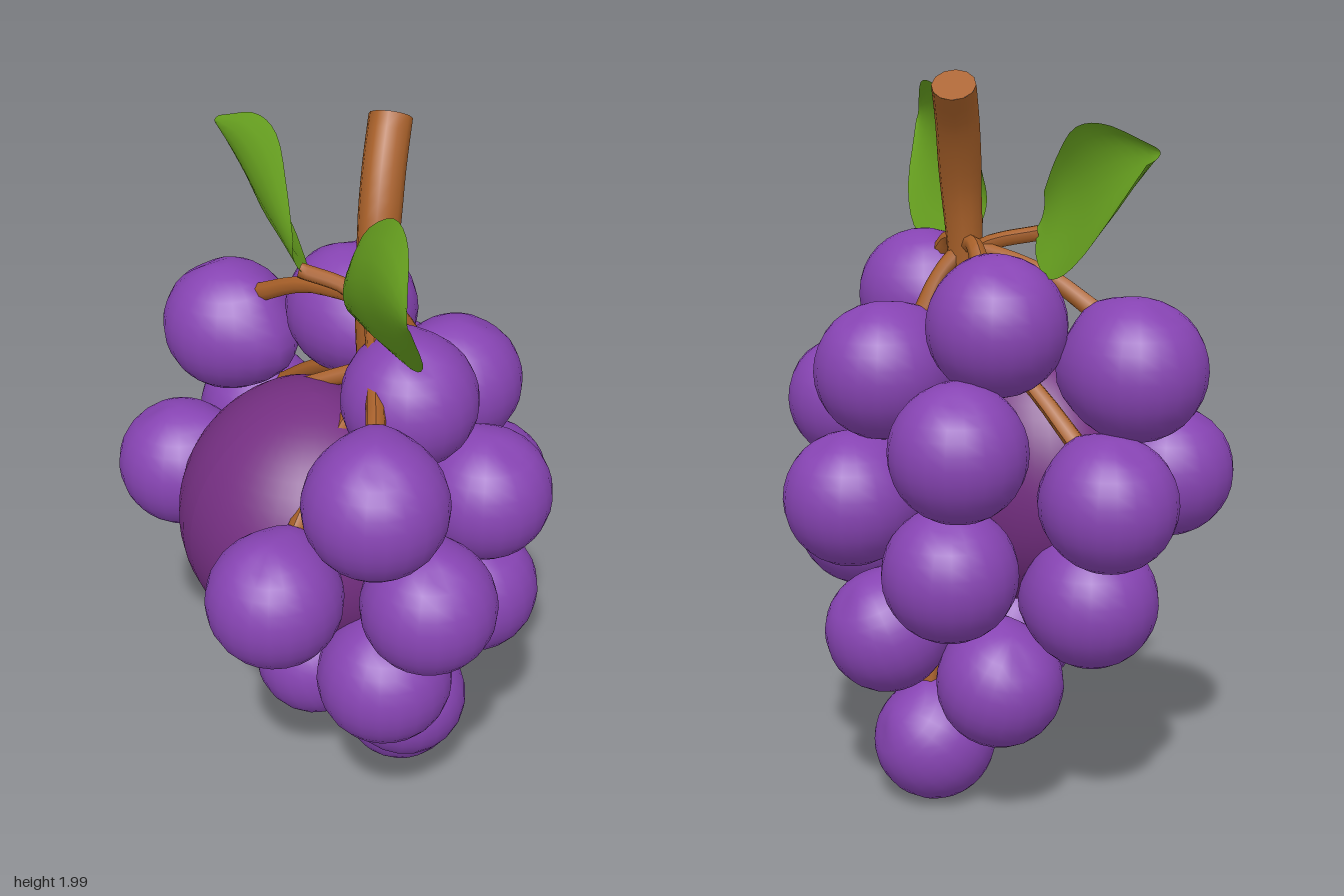
import * as THREE from 'three';
import { mergeVertices } from 'three/addons/utils/BufferGeometryUtils.js';

const V = (x, y, z) => new THREE.Vector3(x, y, z);
const makeMaterial = (name, color, side = THREE.FrontSide) =>
  Object.assign(new THREE.MeshStandardMaterial({ color, side }), { name });

// Directions on a grape whose outer side faces +z
const STALK_END = V(0, 0.75, -0.66).normalize();
const GRAPE_LUMPS = [
  { dir: STALK_END, height: 0.1, width: 0.35 },                        // neck at the stalk
  { dir: V(0, -0.1, -1).normalize(), height: 0.22, width: 0.55 },      // drawn in to the bunch
  { dir: V(0, 0.85, 0.5).normalize(), height: -0.06, width: 0.22 },    // dimple
];

// Grape: a unit sphere with lumps and a dimple
function grapeGeometry() {
  const sphere = new THREE.SphereGeometry(1, 22, 16);
  sphere.deleteAttribute('uv');
  sphere.deleteAttribute('normal');
  const geometry = mergeVertices(sphere);
  const pos = geometry.attributes.position;
  const p = V(0, 0, 0);
  for (let i = 0; i < pos.count; i++) {
    p.fromBufferAttribute(pos, i);
    let r = 1;
    for (const { dir, height, width } of GRAPE_LUMPS) r += height * Math.exp(-((p.angleTo(dir) / width) ** 2));
    pos.setXYZ(i, p.x * r, p.y * r, p.z * r);
  }
  geometry.computeVertexNormals();
  return geometry;
}

// Tube along points whose radius runs through a list of values
function taperedTube(points, radii, segments, sides) {
  const curve = new THREE.CatmullRomCurve3(points);
  const geometry = new THREE.TubeGeometry(curve, segments, 1, sides);
  const pos = geometry.attributes.position;
  const p = V(0, 0, 0);
  for (let i = 0; i <= segments; i++) {
    const t = i / segments;
    const centre = curve.getPointAt(t);
    const f = t * (radii.length - 1);
    const k = Math.min(Math.floor(f), radii.length - 2);
    const r = THREE.MathUtils.lerp(radii[k], radii[k + 1], f - k);
    for (let j = 0; j <= sides; j++) {
      const id = i * (sides + 1) + j;
      p.fromBufferAttribute(pos, id).sub(centre).multiplyScalar(r).add(centre);
      pos.setXYZ(id, p.x, p.y, p.z);
    }
  }
  geometry.computeVertexNormals();
  return geometry;
}

// One face of a leaf, lofted from lower edge through midrib to upper edge
function leafSheet(lower, mid, upper, bulge) {
  const curves = [lower, mid, upper].map((c) => new THREE.CatmullRomCurve3(c));
  const n = 14, m = 8;
  const positions = [], index = [];
  for (let i = 0; i <= n; i++) {
    const t = i / n;
    const row = curves.map((c) => c.getPoint(t));
    row[1].x += bulge * Math.sin(Math.PI * t);
    const cross = new THREE.QuadraticBezierCurve3(
      row[0], row[1].clone().multiplyScalar(2).addScaledVector(row[0], -0.5).addScaledVector(row[2], -0.5), row[2]);
    for (let j = 0; j <= m; j++) {
      positions.push(...cross.getPoint(j / m).toArray());
      if (i < n && j < m) {
        const a = i * (m + 1) + j, b = a + m + 1;
        index.push(a, b, a + 1, b, b + 1, a + 1);
      }
    }
  }
  const geometry = new THREE.BufferGeometry();
  geometry.setAttribute('position', new THREE.Float32BufferAttribute(positions, 3));
  geometry.setIndex(index);
  geometry.computeVertexNormals();
  return geometry;
}

export function createModel() {
  const model = new THREE.Group();
  model.name = 'grapeBunch';
  const grapeSkin = makeMaterial('grapePurple', 0x8744b3);
  const coreSkin = makeMaterial('deepPurple', 0x752f82);
  const wood = makeMaterial('stemBrown', 0xa86029);
  const green = makeMaterial('leafGreen', 0x669f1f, THREE.DoubleSide);

  const add = (geometry, material, name, parent = model) => {
    const mesh = new THREE.Mesh(geometry, material);
    mesh.name = name;
    parent.add(mesh);
    return mesh;
  };

  // Large round core filling the back of the bunch, flatter on its inner side
  const coreShape = new THREE.SphereGeometry(0.37, 40, 28);
  const corePos = coreShape.attributes.position;
  for (let i = 0; i < corePos.count; i++) if (corePos.getX(i) > 0) corePos.setX(i, corePos.getX(i) * 0.7);
  coreShape.computeVertexNormals();
  add(coreShape, coreSkin, 'core').position.set(-0.108, 0.925, -0.015);

  // Main stem, running down through the bunch
  const stemPoints = [V(0.165, 1.965, -0.125), V(0.115, 1.86, -0.065), V(0.07, 1.7, -0.01),
    V(0.05, 1.5, 0), V(0.06, 1.2, 0), V(0.1, 0.8, 0), V(0.13, 0.3, 0.01)];
  add(taperedTube(stemPoints, [0.056, 0.056, 0.046, 0.04, 0.03, 0.022, 0.015, 0.015], 40, 12), wood, 'mainStem');
  const cut = add(new THREE.CircleGeometry(0.056, 12), wood, 'stemCut');
  cut.position.copy(stemPoints[0]);
  cut.lookAt(stemPoints[0].clone().multiplyScalar(2).sub(stemPoints[1]));

  // Grapes: x, y, z, radius
  const grapes = [
    [0.03, 1.375, 0.24, 0.175], [0.12, 1.375, -0.25, 0.18], [0.30, 1.235, 0.01, 0.178],
    [-0.19, 1.265, 0.475, 0.182], [-0.14, 1.275, -0.485, 0.182],
    [0.21, 1.09, 0.325, 0.175], [0.27, 1.08, -0.3, 0.178],
    [0.385, 0.9, 0.035, 0.178], [-0.065, 0.955, 0.525, 0.174], [-0.03, 0.955, -0.53, 0.174],
    [-0.395, 0.955, 0.325, 0.175], [-0.35, 0.955, -0.36, 0.175],
    [0.215, 0.75, 0.27, 0.178], [0.25, 0.74, -0.23, 0.178],
    [-0.115, 0.65, 0.39, 0.178], [-0.08, 0.65, -0.395, 0.175],
    [0.29, 0.52, 0.02, 0.167], [-0.125, 0.445, 0.0, 0.167],
    [0.045, 0.395, 0.215, 0.17], [0.08, 0.395, -0.21, 0.17], [0.145, 0.172, 0.015, 0.167],
  ];
  const grapeShape = grapeGeometry();
  const cluster = new THREE.Group();
  cluster.name = 'grapes';
  const stalks = new THREE.Group();
  stalks.name = 'grapeStalks';
  model.add(cluster, stalks);
  for (const [x, y, z, r] of grapes) {
    // Turned outward; the lowest grapes hang straighter from their stalks
    const grape = add(grapeShape, grapeSkin, 'grape', cluster);
    grape.position.set(x, y, z);
    grape.scale.setScalar(r);
    grape.rotation.set(y < 0.3 ? 0.8 : y < 0.6 ? 0.4 : 0, Math.atan2(x - 0.06, z), 0, 'YXZ');

    // Stalk from the main stem, arching over to the upper inner side of the grape
    const end = STALK_END.clone().applyQuaternion(grape.quaternion).multiplyScalar(r).add(grape.position);
    const nodeY = THREE.MathUtils.clamp(end.y + (y > 0.85 ? 0.25 : 0.1), 0.32, 1.54);
    const node = V(THREE.MathUtils.lerp(0.135, 0.05, (nodeY - 0.3) / 1.24), nodeY, 0);
    const bend = node.clone().lerp(end, 0.6);
    bend.y += 0.03;
    add(taperedTube([node, bend, end], [0.026, 0.021, 0.026], 8, 7), wood, 'grapeStalk', stalks);
  }

  // Leaf twigs and cupped leaves
  const leaves = [
    {
      name: 'frontLeaf',
      twig: [V(0.05, 1.5, 0), V(0.0, 1.555, 0.06), V(-0.07, 1.58, 0.13)],
      lower: [V(-0.07, 1.58, 0.1), V(-0.03, 1.53, 0.2), V(-0.015, 1.52, 0.33), V(-0.06, 1.61, 0.46), V(-0.17, 1.8, 0.59)],
      mid: [V(-0.085, 1.63, 0.1), V(-0.11, 1.69, 0.2), V(-0.13, 1.75, 0.33), V(-0.155, 1.79, 0.46), V(-0.18, 1.82, 0.595)],
      upper: [V(-0.075, 1.69, 0.1), V(-0.06, 1.83, 0.17), V(-0.055, 1.92, 0.3), V(-0.09, 1.925, 0.43), V(-0.175, 1.85, 0.585)],
    },
    {
      name: 'backLeaf',
      twig: [V(0.05, 1.5, 0), V(0.01, 1.55, -0.06), V(-0.08, 1.58, -0.15)],
      lower: [V(-0.09, 1.59, -0.125), V(-0.02, 1.53, -0.22), V(0.03, 1.5, -0.35), V(0.045, 1.56, -0.48), V(-0.07, 1.8, -0.595)],
      mid: [V(-0.11, 1.63, -0.125), V(-0.1, 1.67, -0.23), V(-0.09, 1.71, -0.36), V(-0.09, 1.76, -0.48), V(-0.11, 1.82, -0.595)],
      upper: [V(-0.11, 1.68, -0.125), V(-0.08, 1.78, -0.22), V(-0.045, 1.87, -0.35), V(-0.05, 1.885, -0.46), V(-0.1, 1.84, -0.59)],
    },
  ];
  for (const leaf of leaves) {
    const group = new THREE.Group();
    group.name = leaf.name;
    model.add(group);
    add(taperedTube(leaf.twig, [0.03, 0.021, 0.021], 10, 8), wood, 'leafTwig', group);
    for (const bulge of [-0.012, 0.012]) {
      add(leafSheet(leaf.lower, leaf.mid, leaf.upper, bulge), green, 'leafFace', group);
    }
  }
  return model;
}
